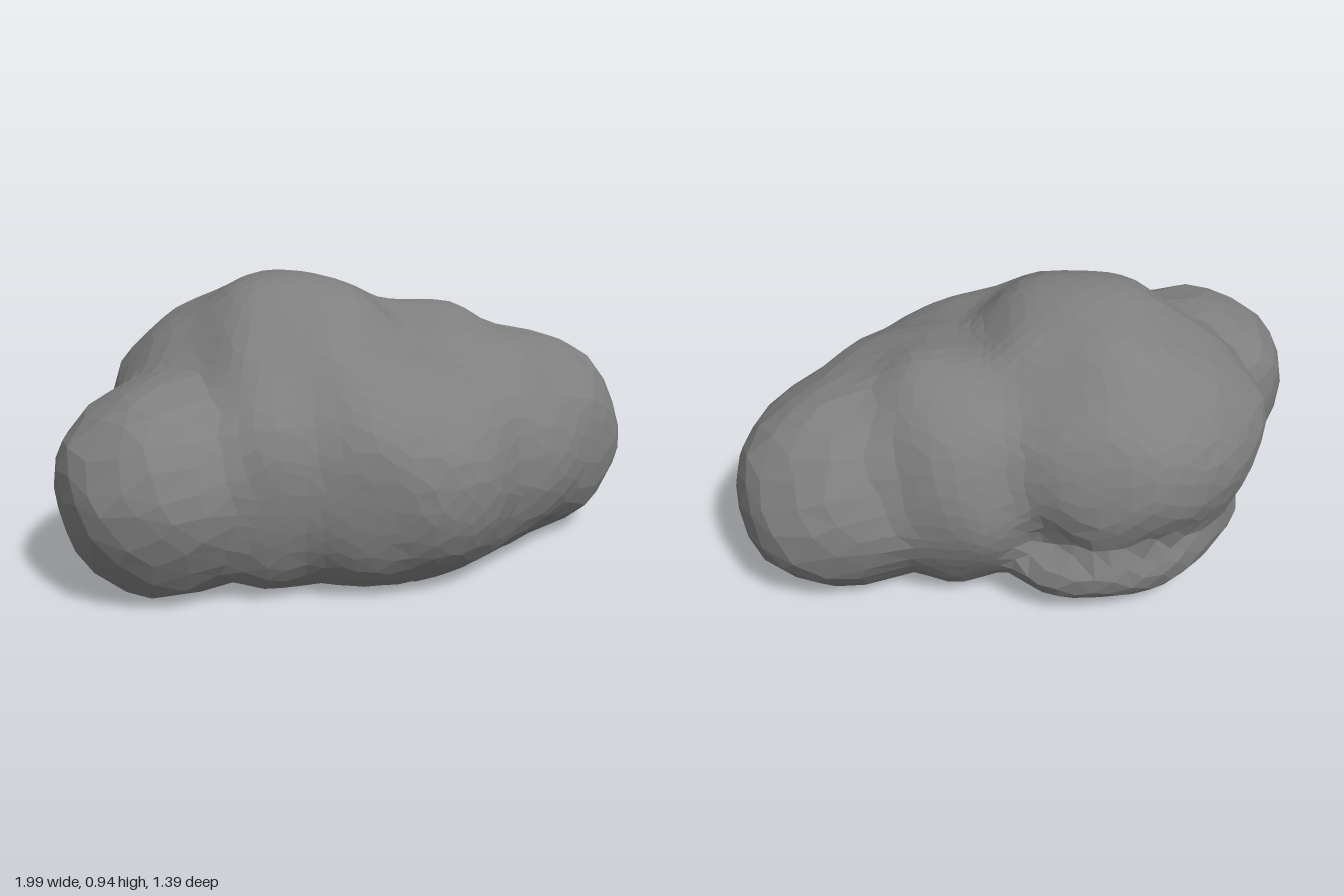
import * as THREE from 'three';
import { mergeVertices } from 'three/addons/utils/BufferGeometryUtils.js';

// Rounded lobes that melt into one body: centre x, y, z, then radii x, y, z
const LOBES = [
  [0.64, 0.30, 0.25, 0.36, 0.38, 0.34],    // left end
  [0.36, 0.33, 0.29, 0.36, 0.40, 0.36],    // front left
  [0.03, 0.35, 0.33, 0.34, 0.37, 0.37],    // front
  [-0.17, 0.33, 0.24, 0.27, 0.42, 0.33],   // front right
  [-0.35, 0.34, 0.12, 0.32, 0.40, 0.30],   // right shoulder
  [-0.65, 0.36, -0.05, 0.35, 0.31, 0.34],  // right end
  [0.32, 0.40, 0.05, 0.36, 0.40, 0.39],    // left shoulder
  [-0.12, 0.50, -0.08, 0.42, 0.445, 0.46], // peak
  [-0.15, 0.48, -0.28, 0.48, 0.35, 0.415], // upper back
  [-0.10, 0.17, -0.34, 0.45, 0.17, 0.30],  // lower back
];
const BLEND = 10; // lower melts the lobes together more
// Pit in the underside: centre and radius
const PIT = new THREE.Vector3(-0.33, -0.05, -0.02);
const PIT_RADIUS = 0.15;

// True inside the soft union of the lobes, above the ground and outside the pit
function inside(p) {
  if (p.y < 0 || p.distanceTo(PIT) < PIT_RADIUS) return false;
  let sum = 0;
  for (const [x, y, z, rx, ry, rz] of LOBES) {
    // low lobes reach below the ground, which cuts a wide flat base
    const h = p.y < y && y < 0.45 ? y * 1.08 : ry;
    const d = Math.hypot((p.x - x) / rx, (p.y - y) / h, (p.z - z) / rz);
    sum += Math.exp(-BLEND * (d - 1));
  }
  const lumps = 0.35 * Math.sin(13 * p.x + 2) * Math.sin(12 * p.y + 1) * Math.sin(14 * p.z);
  return sum > 1 + lumps;
}

// Walk inward along a direction to the outermost surface point
function surfacePoint(origin, dir) {
  const p = new THREE.Vector3();
  const at = (t) => p.copy(dir).multiplyScalar(t).add(origin);
  let t = 1.4;
  while (t > 0.05 && !inside(at(t))) t -= 0.01;
  let lo = t, hi = t + 0.01;
  for (let i = 0; i < 10; i++) {
    const mid = (lo + hi) / 2;
    if (inside(at(mid))) lo = mid; else hi = mid;
  }
  return at(lo);
}

function lumpyGeometry() {
  const ball = new THREE.IcosahedronGeometry(1, 11);
  ball.deleteAttribute('normal');
  ball.deleteAttribute('uv');
  const geo = mergeVertices(ball, 1e-4);
  const pos = geo.attributes.position;
  const origin = new THREE.Vector3(0, 0.35, 0);
  const dir = new THREE.Vector3();
  for (let i = 0; i < pos.count; i++) {
    // uneven directions give irregular facets
    dir.fromBufferAttribute(pos, i);
    dir.x += 0.022 * Math.sin(i * 12.9);
    dir.y += 0.022 * Math.sin(i * 78.2);
    dir.z += 0.022 * Math.sin(i * 37.7);
    const p = surfacePoint(origin, dir.normalize());
    pos.setXYZ(i, p.x, p.y, p.z);
  }
  geo.computeVertexNormals();
  return geo;
}

export function createModel() {
  const group = new THREE.Group();
  group.name = 'lumpyMound';
  const material = new THREE.MeshStandardMaterial({ color: 0x808080, flatShading: true });
  const body = new THREE.Mesh(lumpyGeometry(), material);
  body.name = 'moundBody';
  group.add(body);
  return group;
}
